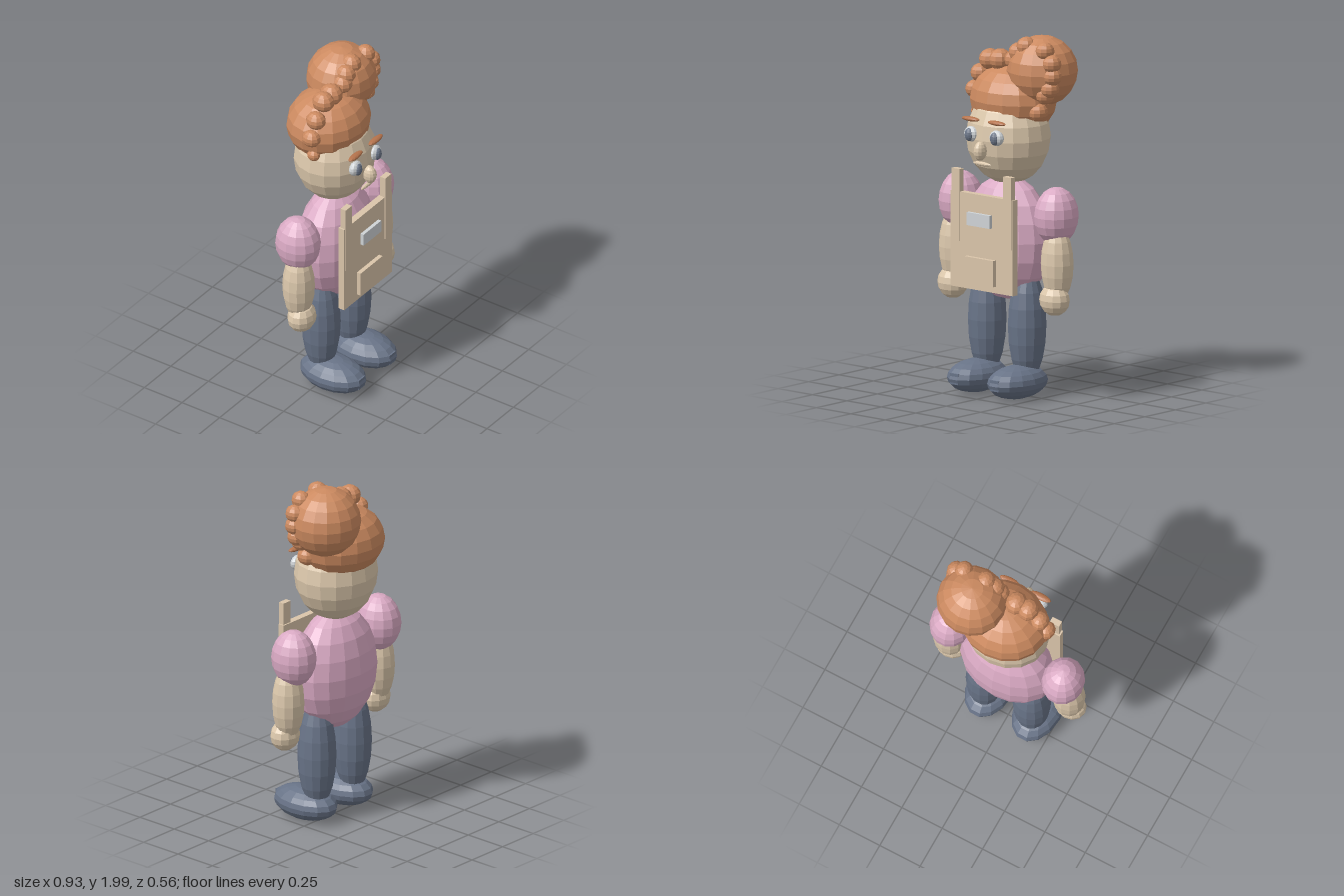
import * as THREE from 'three';

const mat = (name, color, flat = true) => {
  const m = new THREE.MeshStandardMaterial({ color, flatShading: flat });
  m.name = name;
  return m;
};

export function createModel() {
  const skin = mat('skin', 0xdcc8ac);
  const hair = mat('ginger hair', 0xcc8a60);
  const shirt = mat('pink shirt', 0xdaaac4);
  const denim = mat('denim', 0x687387);
  const apronCloth = mat('apron cloth', 0xdac5aa);
  const white = mat('pale grey', 0xcfd3d6);
  const iris = mat('iris blue', 0x6c7688);
  const browHair = mat('brow hair', 0xb5734c);

  const model = new THREE.Group();
  model.name = 'aproned figure';

  const add = (name, geometry, material, [x, y, z], parent = model) => {
    const mesh = new THREE.Mesh(geometry, material);
    mesh.name = name;
    mesh.position.set(x, y, z);
    parent.add(mesh);
    return mesh;
  };
  // Faceted ellipsoid given by centre and radii
  const ball = (name, material, centre, [rx, ry, rz], w = 16, h = 10, parent = model) =>
    add(name, new THREE.SphereGeometry(1, w, h).scale(rx, ry, rz), material, centre, parent);
  // Box given by centre and size
  const box = (name, material, centre, size, parent = model) =>
    add(name, new THREE.BoxGeometry(...size), material, centre, parent);

  // Body and head
  ball('torso', shirt, [0, 0.87, -0.005], [0.28, 0.345, 0.185]);
  ball('head', skin, [0, 1.43, -0.01], [0.243, 0.265, 0.218]);

  // Limbs and paired face parts
  for (const s of [1, -1]) {
    const side = s > 0 ? 'left' : 'right';
    ball(side + 'Sleeve', shirt, [s * 0.347, 1.03, -0.012], [0.117, 0.16, 0.129], 14, 10);
    ball(side + 'Forearm', skin, [s * 0.37, 0.77, 0.008], [0.093, 0.215, 0.088], 12, 10);
    ball(side + 'Hand', skin, [s * 0.37, 0.573, 0.03], [0.09, 0.088, 0.076], 12, 8);
    ball(side + 'Leg', denim, [s * 0.145, 0.4, 0], [0.105, 0.32, 0.108], 14, 10);
    ball(side + 'Shoe', denim, [s * 0.146, 0.097, 0.08], [0.13, 0.092, 0.203], 14, 10);
    box(side + 'ShoeBuckle', denim, [s * 0.146, 0.1, 0.25], [0.06, 0.06, 0.044]);

    ball(side + 'EyeWhite', white, [s * 0.092, 1.457, 0.19], [0.046, 0.043, 0.03], 12, 8);
    ball(side + 'Iris', iris, [s * 0.092, 1.455, 0.208], [0.027, 0.036, 0.022], 12, 8);
    ball(side + 'Eyebrow', browHair, [s * 0.095, 1.54, 0.193], [0.063, 0.013, 0.021], 12, 8);
  }
  ball('nose', skin, [0, 1.378, 0.22], [0.033, 0.054, 0.042], 12, 8);
  ball('mouth', skin, [0, 1.305, 0.207], [0.065, 0.012, 0.012], 12, 6);

  // Hair cap, side bun and a row of curls over both
  const hairdo = new THREE.Group();
  hairdo.name = 'hair';
  model.add(hairdo);
  ball('hairCap', hair, [0, 1.63, -0.052], [0.255, 0.195, 0.22], 16, 10, hairdo);
  ball('bun', hair, [0.175, 1.803, -0.09], [0.197, 0.194, 0.192], 16, 10, hairdo);
  const curls = [
    [-0.215, 1.54, 0.035], [-0.237, 1.66, 0.049], [-0.195, 1.755, 0.052],
    [-0.125, 1.84, 0.058], [-0.05, 1.847, 0.06], [0.055, 1.86, 0.055],
    [0.085, 1.905, 0.055], [0.14, 1.945, 0.053], [0.275, 1.935, 0.05],
    [0.325, 1.87, 0.05], [0.33, 1.8, 0.049], [0.31, 1.73, 0.05],
    [0.275, 1.69, 0.05], [0.225, 1.59, 0.052],
  ];
  for (const [x, y, r] of curls) ball('curl', hair, [x, y, 0], [r, r, r * 1.1], 10, 8, hairdo);

  // Apron with shoulder straps, pocket and blank badge
  const apron = new THREE.Group();
  apron.name = 'apron';
  model.add(apron);
  box('apronPanel', apronCloth, [0, 0.865, 0.19], [0.45, 0.53, 0.038], apron);
  for (const s of [1, -1])
    box('apronStrap', apronCloth, [s * 0.187, 1.055, 0.196], [0.058, 0.4, 0.034], apron);
  box('apronPocket', apronCloth, [0, 0.71, 0.22], [0.208, 0.145, 0.026], apron);
  box('badge', white, [0, 0.995, 0.229], [0.166, 0.072, 0.02], apron);

  return model;
}
